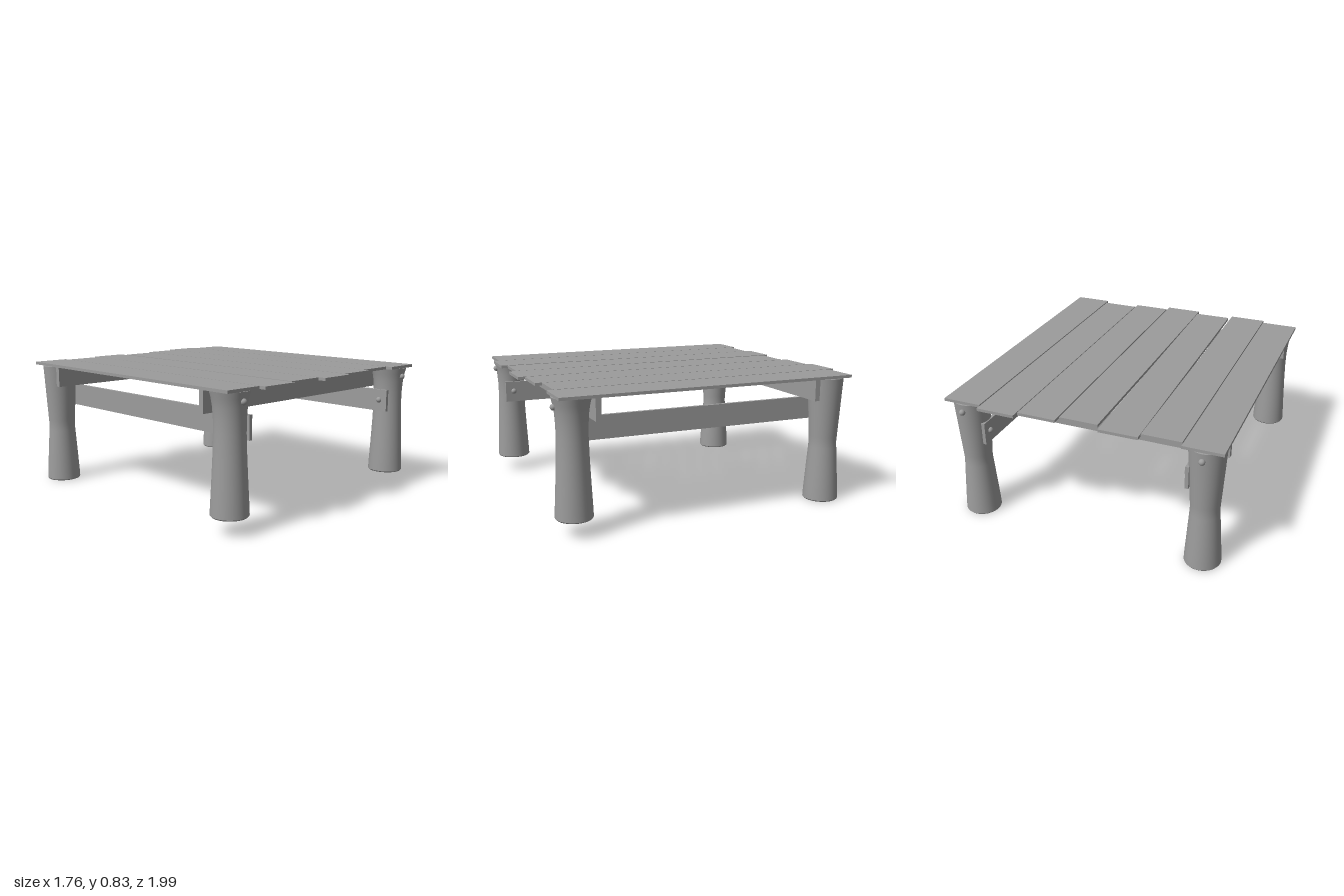
import * as THREE from 'three';
import { toCreasedNormals } from 'three/addons/utils/BufferGeometryUtils.js';

export function createModel() {
  const table = new THREE.Group();
  table.name = 'plankTable';
  const wood = new THREE.MeshStandardMaterial({ color: 0x9c9c9c });
  wood.name = 'greyWood';

  function add(name, geometry, x, y, z) {
    const mesh = new THREE.Mesh(geometry, wood);
    mesh.name = name;
    mesh.position.set(x, y, z);
    table.add(mesh);
    return mesh;
  }

  // Tabletop planks: centre x, centre z, turn about y
  const planks = [
    [-0.758, -0.003, 0], [-0.508, 0.034, 0], [-0.254, -0.007, 0.009],
    [0.002, 0.039, 0], [0.254, -0.003, 0], [0.503, -0.044, 0], [0.755, -0.003, 0],
  ];
  const plankGeometry = new THREE.BoxGeometry(0.244, 0.018, 1.912);
  planks.forEach(([x, z, turn], i) => {
    add('plank' + (i + 1), plankGeometry, x, 0.829, z).rotation.y = turn;
  });

  // Turned legs: closed profiles of radius and height
  const turned = (profile) => toCreasedNormals(
    new THREE.LatheGeometry(profile.map(([r, y]) => new THREE.Vector2(r, y)), 40), 0.5);
  const frontLeg = turned([
    [0, 0.11], [0.106, 0.11], [0.112, 0.117], [0.111, 0.15], [0.103, 0.3], [0.096, 0.45],
    [0.092, 0.58], [0.093, 0.66], [0.098, 0.73], [0.106, 0.78], [0.114, 0.81], [0.116, 0.82], [0, 0.82],
  ]);
  const backLeg = turned([
    [0, 0.008], [0.107, 0.008], [0.113, 0.015], [0.111, 0.06], [0.1, 0.22], [0.09, 0.36],
    [0.088, 0.395], [0.09, 0.43], [0.1, 0.6], [0.11, 0.77], [0.113, 0.813], [0.109, 0.82], [0, 0.82],
  ]);

  const bolt = new THREE.SphereGeometry(0.019, 20, 14);
  const apron = new THREE.BoxGeometry(1.71, 0.137, 0.033);
  const rail = new THREE.BoxGeometry(0.022, 0.144, 1.82);

  for (const side of [-1, 1]) {
    const hand = side > 0 ? 'left' : 'right';
    add(hand + 'FrontLeg', frontLeg, side * 0.757, 0, 0.847);
    add(hand + 'BackLeg', backLeg, side * 0.757, 0, -0.848);
    add(hand + 'FrontLegBolt', bolt, side * 0.757, 0.765, 0.951);
    add(hand + 'BackLegBolt', bolt, side * 0.757, 0.765, -0.964);

    // Lower side rail with a bolt on its inner face at each leg
    add(hand + 'Rail', rail, side * 0.658, 0.605, 0);
    for (const end of [-1, 1]) add(hand + 'RailBolt', bolt, side * 0.646, 0.608, end * 0.853);

    // Upper cross apron under the planks
    add(side > 0 ? 'frontApron' : 'backApron', apron, 0, 0.7515, side * 0.722);
  }
  return table;
}
